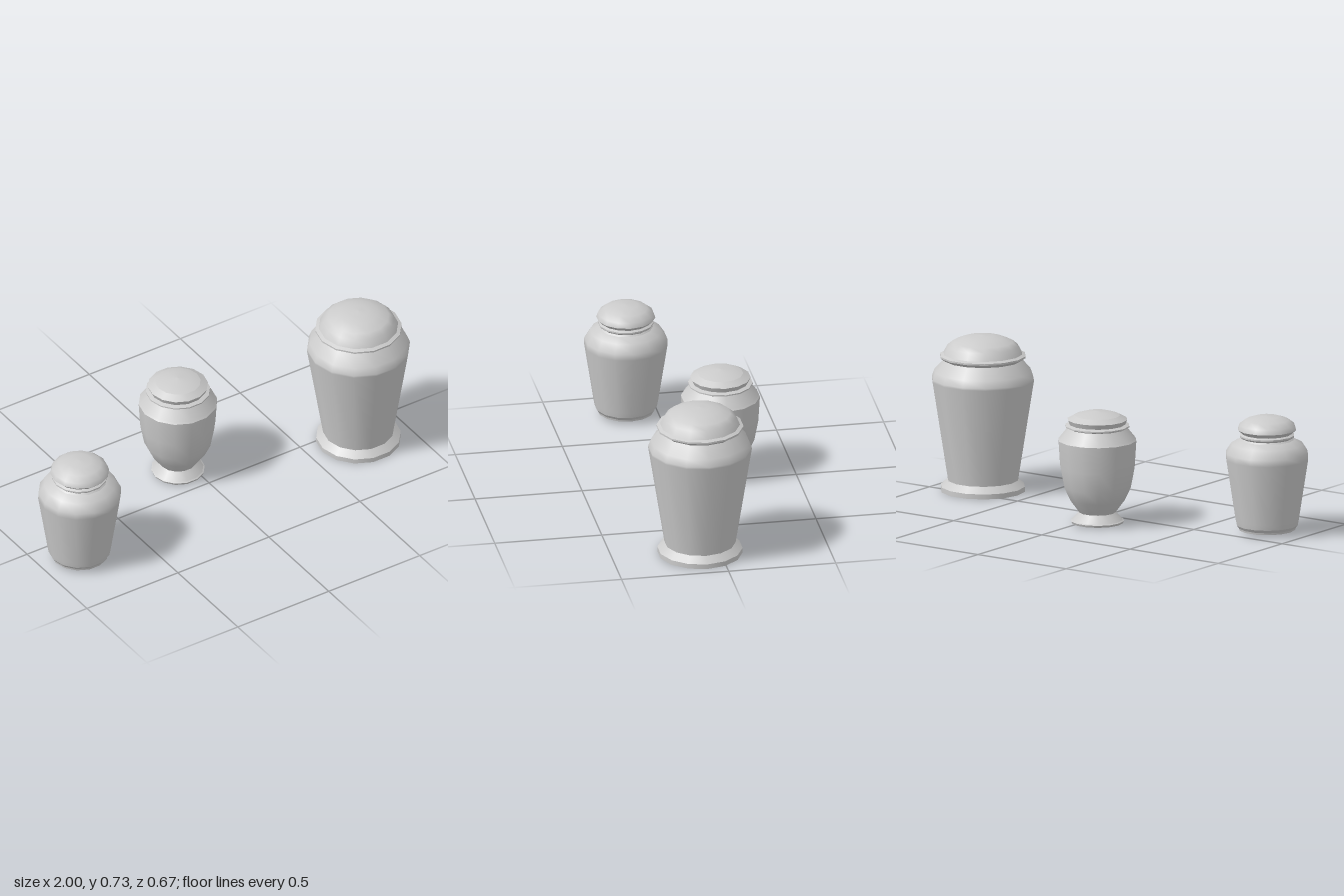
import * as THREE from 'three';
import { mergeGeometries } from 'three/addons/utils/BufferGeometryUtils.js';

const SIDES = 14;
const material = new THREE.MeshStandardMaterial({ color: 0xcccccc });

// A turned part: each run of [radius, height] points is smooth, runs meet at sharp edges.
function turned(name, runs) {
  const lathes = runs.map((run) => new THREE.LatheGeometry(
    run.map(([r, y]) => new THREE.Vector2(r, y)), SIDES, Math.PI / 2));
  const mesh = new THREE.Mesh(mergeGeometries(lathes), material);
  mesh.name = name;
  return mesh;
}

// Every segment of the profile becomes its own run, so all its edges are sharp.
const sharp = (points) => points.slice(1).map((p, i) => [points[i], p]);

function urn(name, x, z, parts) {
  const group = new THREE.Group();
  group.name = name;
  group.position.set(x, 0, z);
  for (const [part, runs] of Object.entries(parts)) group.add(turned(part, runs));
  return group;
}

export function createModel() {
  const model = new THREE.Group();
  model.name = 'urns';

  // Tall urn with plinth foot and domed lid
  model.add(urn('tallUrn', 0.762, 0.09, {
    foot: sharp([[0, 0], [0.196, 0], [0.196, 0.023], [0.164, 0.052]]),
    body: [[[0.164, 0.052], [0.238, 0.52], [0.238, 0.53], [0.226, 0.563], [0.179, 0.615]]],
    rim: sharp([[0.179, 0.615], [0.2, 0.63], [0.2, 0.638], [0.184, 0.645]]),
    lid: [[[0.184, 0.645], [0.165, 0.68], [0.141, 0.7], [0.091, 0.72], [0.045, 0.727], [0, 0.73]]],
  }));

  // Small urn on a flared foot with a stepped lid
  model.add(urn('footedUrn', -0.067, -0.158, {
    foot: sharp([[0, 0.006], [0.12, 0.006], [0.124, 0.016], [0.118, 0.02], [0.084, 0.055]]),
    body: [
      [[0.084, 0.055], [0.128, 0.115], [0.156, 0.175], [0.174, 0.27], [0.182, 0.395]],
      [[0.182, 0.395], [0.176, 0.402]],
      [[0.176, 0.402], [0.136, 0.452]],
    ],
    rim: sharp([[0.136, 0.452], [0.149, 0.458], [0.149, 0.464], [0.13, 0.47]]),
    lid: [
      [[0.13, 0.47], [0.139, 0.492]],
      [[0.139, 0.492], [0.105, 0.511]],
      [[0.105, 0.511], [0.06, 0.525], [0, 0.53]],
    ],
  }));

  // Broad urn with a grooved neck and rounded cap
  model.add(urn('broadUrn', -0.808, 0.147, {
    foot: sharp([[0, 0.017], [0.131, 0.017], [0.133, 0.026], [0.143, 0.04]]),
    body: [[[0.143, 0.04], [0.148, 0.065], [0.192, 0.35], [0.191, 0.38], [0.165, 0.42], [0.125, 0.44]]],
    neck: sharp([[0.125, 0.44], [0.118, 0.447], [0.127, 0.455], [0.127, 0.462], [0.116, 0.468], [0.122, 0.475]]),
    lid: [
      [[0.122, 0.475], [0.136, 0.487]],
      [[0.136, 0.487], [0.128, 0.51], [0.1, 0.532], [0.055, 0.547], [0, 0.55]],
    ],
  }));

  return model;
}
